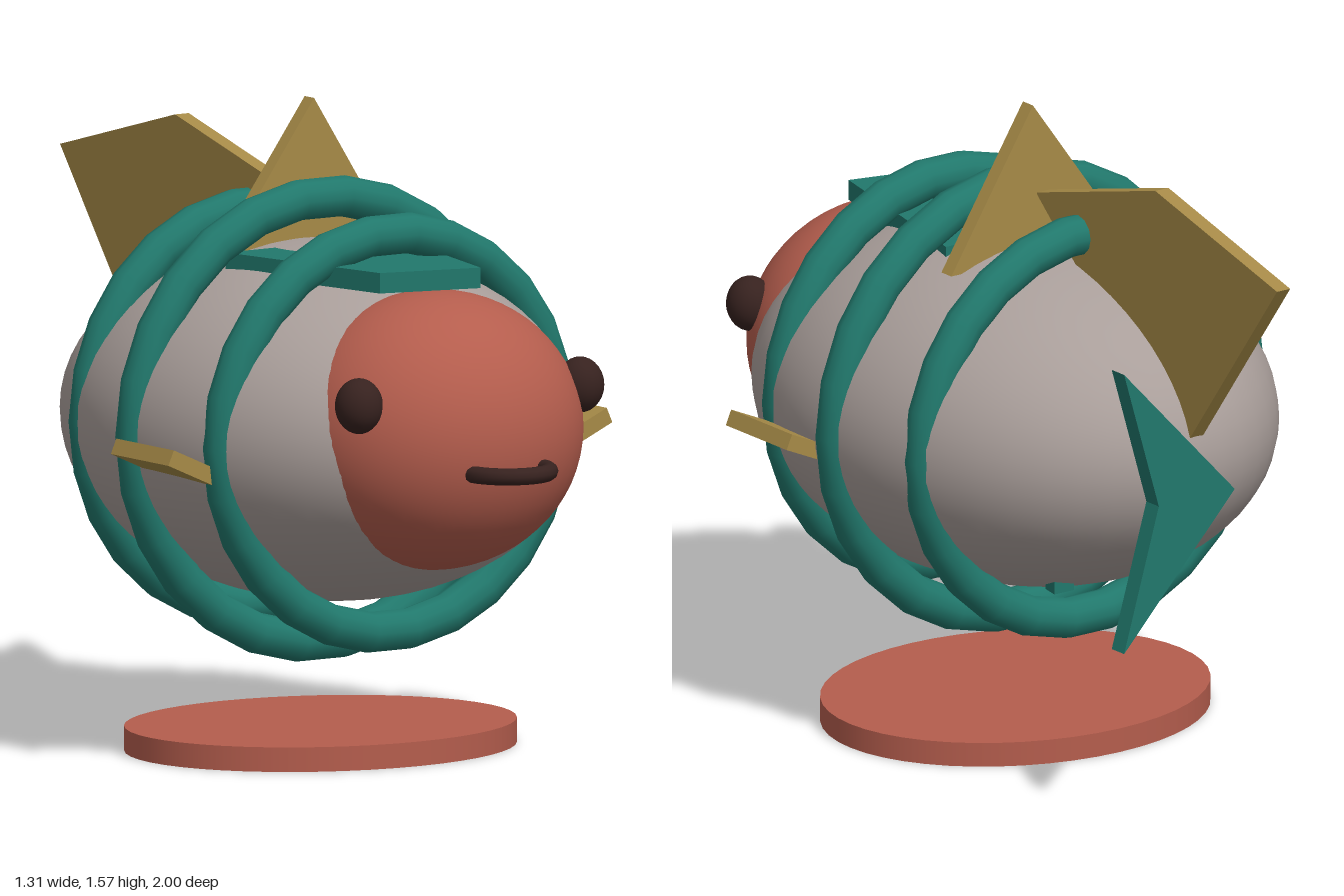
import * as THREE from 'three';

const mat = (name, color) => {
  const m = new THREE.MeshStandardMaterial({ color });
  m.name = name;
  return m;
};

export function createModel() {
  const group = new THREE.Group();
  const grey = mat('warm grey', 0xa99e9a);
  const red = mat('terracotta', 0xb45d4d);
  const teal = mat('teal', 0x21786c);
  const gold = mat('ochre', 0xa68a47);
  const dark = mat('dark brown', 0x37221f);

  const add = (name, geometry, material, x, y, z) => {
    const mesh = new THREE.Mesh(geometry, material);
    mesh.name = name;
    mesh.position.set(x, y, z);
    group.add(mesh);
    return mesh;
  };
  const ellipsoid = (rx, ry, rz, w = 48, h = 32) => new THREE.SphereGeometry(1, w, h).scale(rx, ry, rz);
  // Flat plate, centred on its own thickness
  const plate = (points, depth) => {
    const shape = new THREE.Shape(points.map(([a, b]) => new THREE.Vector2(a, b)));
    return new THREE.ExtrudeGeometry(shape, { depth, bevelEnabled: false }).translate(0, 0, -depth / 2);
  };

  // Body and head
  add('body', ellipsoid(0.57, 0.435, 0.745), grey, 0, 0.8, 0.08);
  add('head', ellipsoid(0.375, 0.34, 0.34), red, 0, 0.83, 0.56);

  // Bands around the body
  for (const [z, r] of [[0.37, 0.487], [0.08, 0.543], [-0.2, 0.487]]) {
    add('band', new THREE.TorusGeometry(r, 0.05, 12, 26), teal, 0, 0.8, z);
  }

  // Eyes and side fins, mirrored
  for (const s of [1, -1]) {
    add('eye', ellipsoid(0.058, 0.068, 0.06, 20, 14), dark, s * 0.325, 0.932, 0.715);
    const fin = add('sideFin', new THREE.BoxGeometry(0.24, 0.04, 0.245), gold, s * 0.535, 0.742, 0.255);
    fin.rotation.z = s * 0.42;
  }

  // Mouth ring
  add('mouth', new THREE.TorusGeometry(0.102, 0.021, 10, 32).rotateX(Math.PI / 2), dark, 0, 0.766, 0.877);

  // Upright triangular fin across the back
  add('crossFin', plate([[-0.25, 1.185], [0.28, 1.185], [0.033, 1.572]], 0.04), gold, 0, 0, -0.015);

  // Large fin along the centre line (outline in z, y)
  const backFin = plate([[-0.03, 1.347], [-0.61, 0.83], [-1, 1.345], [-0.51, 1.475]], 0.04);
  add('backFin', backFin.rotateY(-Math.PI / 2), gold, 0, 0, 0);

  // Forked tail
  add('tail', plate([[0.02, 0.8], [0.355, 0.445], [0.25, 0.8], [0.355, 1.155]], 0.05), teal, 0, 0, -0.805);

  // Plate on top of the head (outline in x, z)
  const crown = plate([[-0.265, 0.06], [0.225, 0.06], [0.097, 0.622], [-0.157, 0.56]], 0.05);
  add('headPlate', crown.rotateX(Math.PI / 2), teal, 0, 1.2, 0);

  // Small tip under the belly
  const tip = plate([[0.13, -0.33], [0.19, -0.33], [0.18, -0.28]], 0.04);
  add('bellyTip', tip.rotateX(Math.PI / 2), teal, 0, 0.455, 0);

  // Oval stand
  add('stand', new THREE.CylinderGeometry(1, 1, 0.06, 48).scale(0.5, 1, 0.42), red, 0, 0.03, 0.08);

  return group;
}
